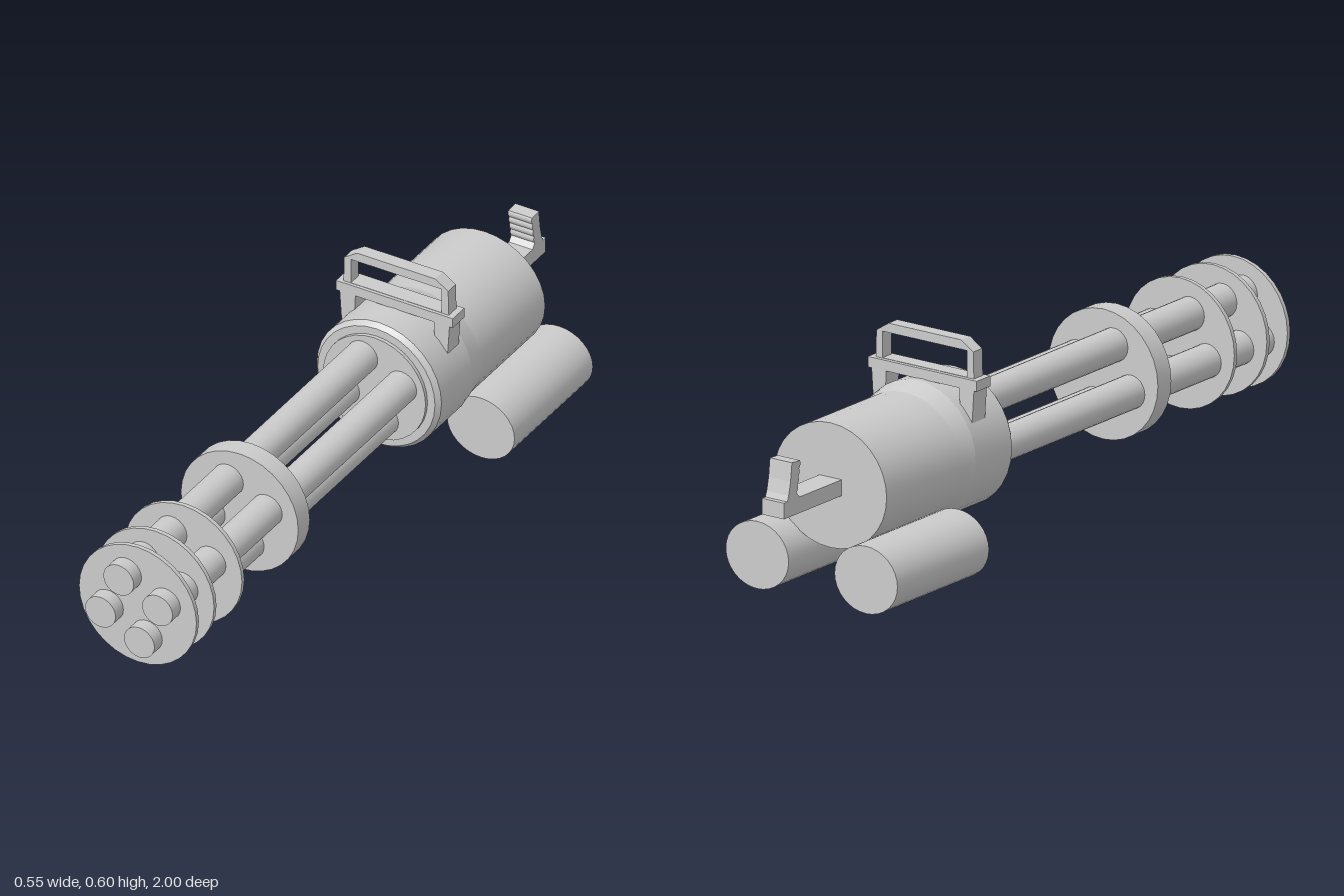
import * as THREE from 'three';

const grey = new THREE.MeshStandardMaterial({ color: 0xcccccc });

function add(parent, name, geometry) {
  const mesh = new THREE.Mesh(geometry, grey);
  mesh.name = name;
  parent.add(mesh);
  return mesh;
}

// Elliptical section along z, from front (zf) to back (zb), with its own radii at each end
function section(zf, zb, rxf, ryf, rxb = rxf, ryb = ryf, sides = 32) {
  const g = new THREE.CylinderGeometry(1, 1, zf - zb, sides);
  g.rotateX(Math.PI / 2);
  const p = g.attributes.position;
  for (let i = 0; i < p.count; i++) {
    const front = p.getZ(i) > 0;
    p.setX(i, p.getX(i) * (front ? rxf : rxb));
    p.setY(i, p.getY(i) * (front ? ryf : ryb));
  }
  g.computeVertexNormals();
  return g.translate(0, 0, (zf + zb) / 2);
}

// Flat outline in x/y extruded from zb to zf
function plate(points, zb, zf, hole) {
  const shape = new THREE.Shape(points.map(([x, y]) => new THREE.Vector2(x, y)));
  if (hole) shape.holes.push(new THREE.Path(hole.map(([x, y]) => new THREE.Vector2(x, y))));
  return new THREE.ExtrudeGeometry(shape, { depth: zf - zb, bevelEnabled: false }).translate(0, 0, zb);
}

export function createModel() {
  const model = new THREE.Group();
  const axisY = 0.289;

  // Four barrels on a slightly turned square
  const barrels = new THREE.Group();
  barrels.name = 'barrels';
  model.add(barrels);
  for (let i = 0; i < 4; i++) {
    const a = THREE.MathUtils.degToRad(20 + 90 * i);
    add(barrels, 'barrel', section(1, -0.22, 0.045, 0.045, 0.045, 0.045, 24))
      .position.set(-0.003 + 0.09 * Math.cos(a), axisY + 0.09 * Math.sin(a), 0);
  }

  // Thin muzzle discs and the thicker clamp behind them
  for (const z of [0.955, 0.868, 0.73])
    add(model, 'muzzleDisc', section(z + 0.006, z - 0.006, 0.174, 0.174)).position.y = axisY;
  add(model, 'barrelClamp', section(0.457, 0.4, 0.174, 0.174)).position.y = axisY;

  // Housing: front plate, bevel, collar, taper, rear drum
  const housing = new THREE.Group();
  housing.name = 'housing';
  housing.position.set(0.001, axisY, 0);
  model.add(housing);
  add(housing, 'frontPlate', section(-0.208, -0.23, 0.152, 0.152));
  add(housing, 'collarBevel', section(-0.218, -0.232, 0.174, 0.174, 0.185, 0.185));
  add(housing, 'collar', section(-0.232, -0.385, 0.185, 0.185));
  add(housing, 'collarTaper', section(-0.385, -0.44, 0.185, 0.185, 0.179, 0.167));
  add(housing, 'rearDrum', section(-0.44, -0.755, 0.179, 0.167));

  // Twin tanks under the housing
  for (const s of [-1, 1])
    add(model, s > 0 ? 'leftTank' : 'rightTank', section(-0.448, -0.836, 0.1, 0.09))
      .position.set(s * 0.173, 0.09, 0);

  // Carrying handle: legs, cross bar and upper frame
  const handle = new THREE.Group();
  handle.name = 'carryHandle';
  model.add(handle);
  for (const s of [-1, 1]) {
    const pts = [[0.116, 0.475], [0.121, 0.37], [0.156, 0.37], [0.163, 0.475]].map(([x, y]) => [s * x, y]);
    add(handle, 'handleLeg', plate(pts, -0.365, -0.31));
  }
  add(handle, 'crossBar', new THREE.BoxGeometry(0.346, 0.028, 0.058)).position.set(0, 0.486, -0.338);
  add(handle, 'upperFrame', plate(
    [[-0.156, 0.5], [0.156, 0.5], [0.154, 0.572], [0.116, 0.597], [-0.116, 0.597], [-0.154, 0.572]],
    -0.356, -0.318,
    [[-0.134, 0.501], [-0.134, 0.572], [0.135, 0.572], [0.135, 0.501]]));

  // Rear grip: arm and an upright with finger ridges, drawn in z/y and turned sideways
  const grip = new THREE.Group();
  grip.name = 'rearGrip';
  model.add(grip);
  add(grip, 'gripArm', new THREE.BoxGeometry(0.07, 0.043, 0.26)).position.set(0, 0.289, -0.87);
  const ridges = [];
  for (let i = 0; i <= 16; i++) {
    const t = i / 16;
    ridges.push([0.946 - 0.014 * t - 0.004 * Math.abs(Math.sin(4 * Math.PI * t)), 0.325 + 0.083 * t]);
  }
  const outline = [[0.988, 0.305], [0.93, 0.305], ...ridges, [0.966, 0.41], [0.972, 0.36], [0.98, 0.325]];
  add(grip, 'gripUpright', plate(outline, -0.035, 0.035).rotateY(Math.PI / 2));

  return model;
}
